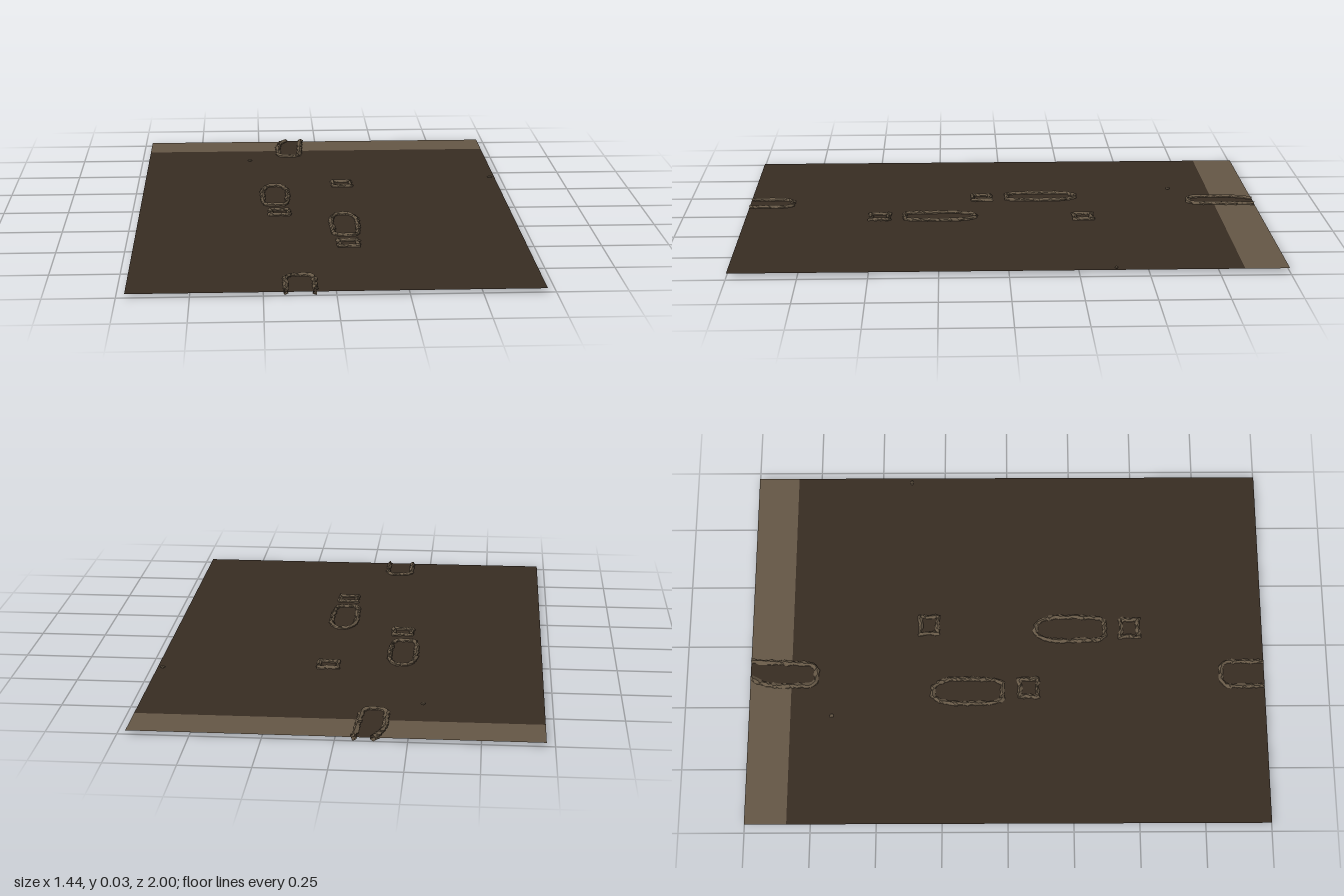
import * as THREE from 'three';

const GROUND_Y = 0.014;

// Repeatable noise in -1..1 from a position, so seam vertices move together
function noise(x, y, z) {
  const r = (v) => Math.round(v * 2000);
  const s = Math.sin(r(x) * 12.9898 + r(y) * 78.233 + r(z) * 37.719) * 43758.5453;
  return (s - Math.floor(s)) * 2 - 1;
}

export function createModel() {
  const model = new THREE.Group();
  const darkEarth = new THREE.MeshStandardMaterial({ color: 0x382d23, side: THREE.DoubleSide });
  darkEarth.name = 'darkEarth';
  const paleEarth = new THREE.MeshStandardMaterial({
    color: 0x665846, side: THREE.DoubleSide, flatShading: true });
  paleEarth.name = 'paleEarth';

  function add(name, geometry, material, parent = model) {
    const mesh = new THREE.Mesh(geometry, material);
    mesh.name = name;
    parent.add(mesh);
    return mesh;
  }

  // Flat ground sheet with a paler band along the back
  function sheet(name, z0, z1, material) {
    const g = new THREE.PlaneGeometry(1.44, z1 - z0).rotateX(-Math.PI / 2);
    add(name, g.translate(0, GROUND_Y, (z0 + z1) / 2), material);
  }
  sheet('ground', -0.84, 1, darkEarth);
  sheet('backBand', -1, -0.84, paleEarth);

  // Crumbly raised rim swept along an outline of [x, z] points
  function rim(name, points, closed, radius = 0.009) {
    const path = new THREE.CurvePath();
    const pts = points.map(([x, z]) => new THREE.Vector3(x, GROUND_Y, z));
    const count = closed ? pts.length : pts.length - 1;
    for (let i = 0; i < count; i++) {
      path.add(new THREE.LineCurve3(pts[i], pts[(i + 1) % pts.length]));
    }
    const steps = Math.max(12, Math.round(path.getLength() / 0.011));
    const curve = new THREE.CatmullRomCurve3(
      path.getSpacedPoints(steps).slice(0, closed ? steps : steps + 1), closed);
    const g = new THREE.TubeGeometry(curve, steps, radius, 6, closed);
    const p = g.attributes.position;
    for (let i = 0; i < p.count; i++) {
      const x = p.getX(i), y = p.getY(i), z = p.getZ(i);
      const ny = GROUND_Y - 0.001 + (y - GROUND_Y) * 1.35 + noise(z, x, y) * 0.0015;
      p.setXYZ(i,
        x + noise(x, y, z) * 0.004,
        THREE.MathUtils.clamp(ny, 0, 0.026),
        THREE.MathUtils.clamp(z + noise(y, z, x) * 0.004, -1, 1));
    }
    g.computeVertexNormals();
    add(name, g, paleEarth);
  }

  // Sole: rounded toe toward -z, bevelled rear edge
  function sole(x0, x1, z0, z1) {
    const w = x1 - x0, l = z1 - z0;
    return [[0.34, 0.02], [0.66, 0.02], [0.86, 0.1], [0.98, 0.26], [0.99, 0.5], [0.95, 0.9],
      [0.84, 1], [0.16, 1], [0.05, 0.9], [0.01, 0.5], [0.02, 0.26], [0.14, 0.1]]
      .map(([u, v]) => [x0 + u * w, z0 + v * l]);
  }
  // Heel: square with slightly pinched sides
  function heel(cx, cz) {
    return [[-1, -1], [0, -0.85], [1, -1], [0.85, 0], [1, 1], [0, 0.85], [-1, 1], [-0.85, 0]]
      .map(([u, v]) => [cx + u * 0.038, cz + v * 0.037]);
  }

  rim('leftSoleRim', sole(0.015, 0.117, 0.105, 0.382), true);
  rim('leftHeelRim', heel(0.068, 0.48), true);
  rim('rightSoleRim', sole(-0.243, -0.14, -0.295, -0.02), true);
  rim('rightHeelRim', heel(-0.178, 0.082), true);
  rim('loneHeelRim', heel(0.083, -0.307), true);

  // Prints cut off by the front and back edges
  rim('frontPrintRim', [[-0.173, 1], [-0.173, 0.86], [-0.155, 0.832],
    [-0.09, 0.832], [-0.073, 0.86], [-0.073, 1]], false);
  const backOutline = [[-0.132, -1], [-0.155, -0.96], [-0.167, -0.9], [-0.167, -0.77],
    [-0.15, -0.743], [-0.095, -0.743], [-0.077, -0.77], [-0.072, -0.9], [-0.066, -1]];
  rim('backPrintRim', backOutline, false, 0.011);

  // Dark trodden earth inside the back print
  const inside = new THREE.Shape(backOutline.map(([x, z]) => new THREE.Vector2(x, -z)));
  add('backPrintFloor',
    new THREE.ShapeGeometry(inside).rotateX(-Math.PI / 2).translate(0, GROUND_Y + 0.002, 0), darkEarth);

  // Loose crumbs
  for (const [x, z, sx, sz] of [[-0.29, -0.68, 0.009, 0.009], [0.7, -0.383, 0.012, 0.006]]) {
    const g = new THREE.IcosahedronGeometry(1, 0).scale(sx, 0.005, sz);
    add('crumb', g.translate(x, GROUND_Y + 0.003, z), paleEarth);
  }
  return model;
}
